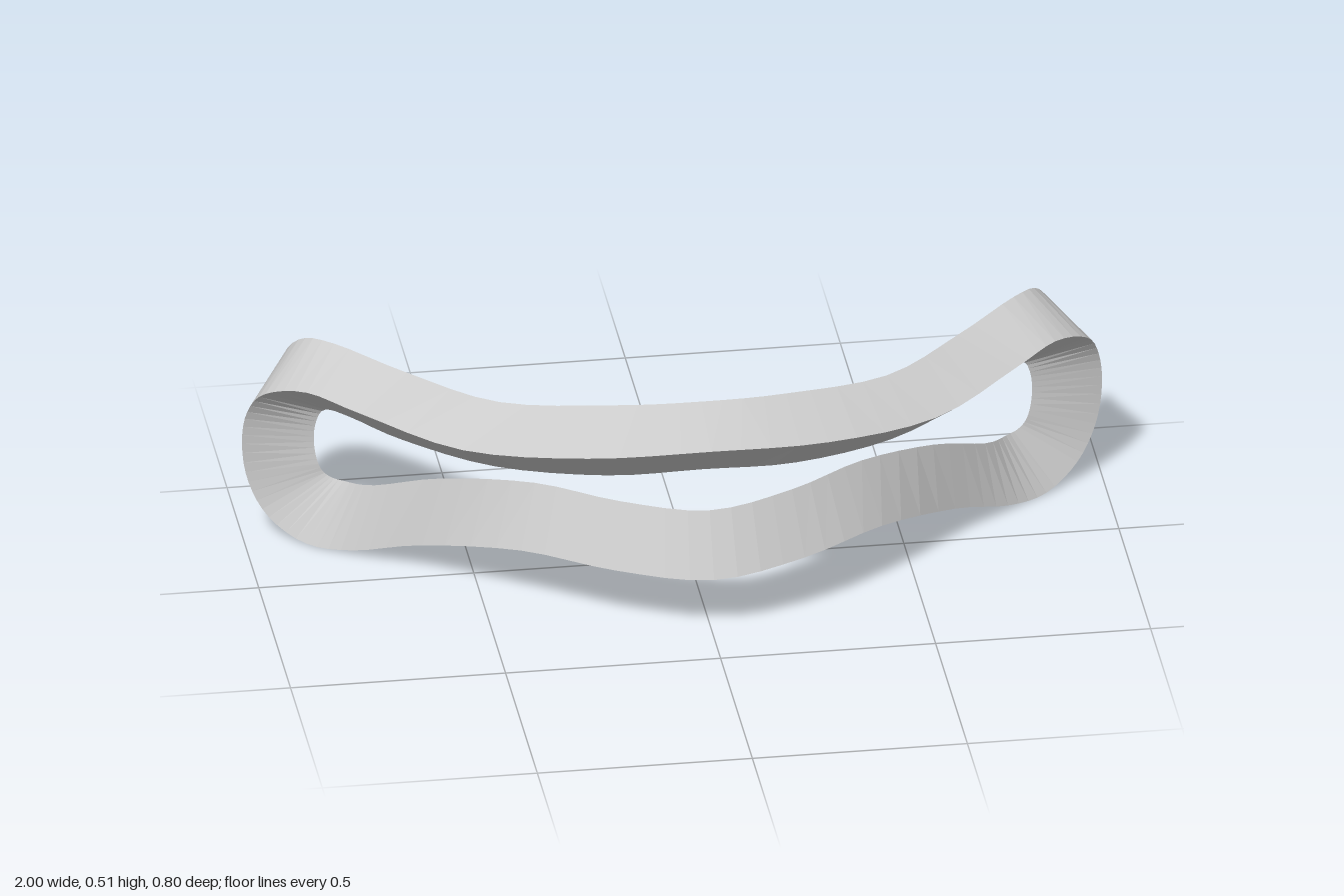
import * as THREE from 'three';

// Triangular cross-sections of the left half, from the top centre round to the bottom centre.
// Each row: outer edge, back edge, inner edge (x, y, z each).
const SECTIONS = [
  [0, .465, .355, 0, .515, .2, 0, .355, .23],
  [.28, .445, .31, .2, .505, .17, .22, .34, .2],
  [.55, .415, .17, .45, .478, .065, .46, .314, .07],
  [.76, .427, -.02, .64, .483, -.1, .65, .318, -.08],
  [.87, .438, -.12, .79, .5, -.235, .76, .335, -.18],
  [.955, .4, -.2, .86, .472, -.32, .81, .33, -.235],
  [.99, .33, -.25, .895, .38, -.38, .83, .295, -.247],
  [1, .24, -.265, .9, .24, -.4, .835, .24, -.25],
  [.985, .14, -.265, .895, .13, -.39, .825, .185, -.245],
  [.94, .055, -.245, .865, .045, -.36, .805, .157, -.24],
  [.86, .006, -.195, .8, .012, -.32, .77, .152, -.215],
  [.76, .02, -.12, .68, .03, -.24, .71, .175, -.14],
  [.62, .085, 0, .53, .1, -.12, .57, .25, -.01],
  [.42, .16, .2, .34, .162, .05, .38, .307, .15],
  [.22, .163, .335, .18, .168, .18, .2, .308, .27],
  [0, .155, .4, 0, .167, .24, 0, .3, .33],
];
const STEPS = 4; // facets between neighbouring sections

// Closed curve along one of the three edges, mirrored to the right half
function edgeCurve(k) {
  const half = SECTIONS.map(s => new THREE.Vector3(s[3 * k], s[3 * k + 1], s[3 * k + 2]));
  const mirrored = half.slice(1, -1).reverse().map(p => new THREE.Vector3(-p.x, p.y, p.z));
  return new THREE.CatmullRomCurve3([...half, ...mirrored], true, 'catmullrom', 0.5);
}

// Skin the three edges into a closed triangular band
function bandGeometry() {
  const curves = [0, 1, 2].map(edgeCurve);
  const rings = curves[0].points.length * STEPS;
  const positions = [], index = [];
  for (let i = 0; i < rings; i++) {
    for (const c of curves) positions.push(...c.getPoint(i / rings).toArray());
    const next = (i + 1) % rings;
    for (let k = 0; k < 3; k++) {
      const m = (k + 1) % 3;
      const a = i * 3 + k, b = next * 3 + k, c = next * 3 + m, d = i * 3 + m;
      index.push(a, b, c, a, c, d);
    }
  }
  const g = new THREE.BufferGeometry();
  g.setAttribute('position', new THREE.Float32BufferAttribute(positions, 3));
  g.setIndex(index);
  const flat = g.toNonIndexed();
  flat.computeVertexNormals();
  return flat;
}

export function createModel() {
  const group = new THREE.Group();
  group.name = 'curvedLoop';
  const band = new THREE.Mesh(
    bandGeometry(),
    new THREE.MeshStandardMaterial({ color: 0xcccccc, flatShading: true }),
  );
  band.name = 'loopBand';
  group.add(band);
  return group;
}
